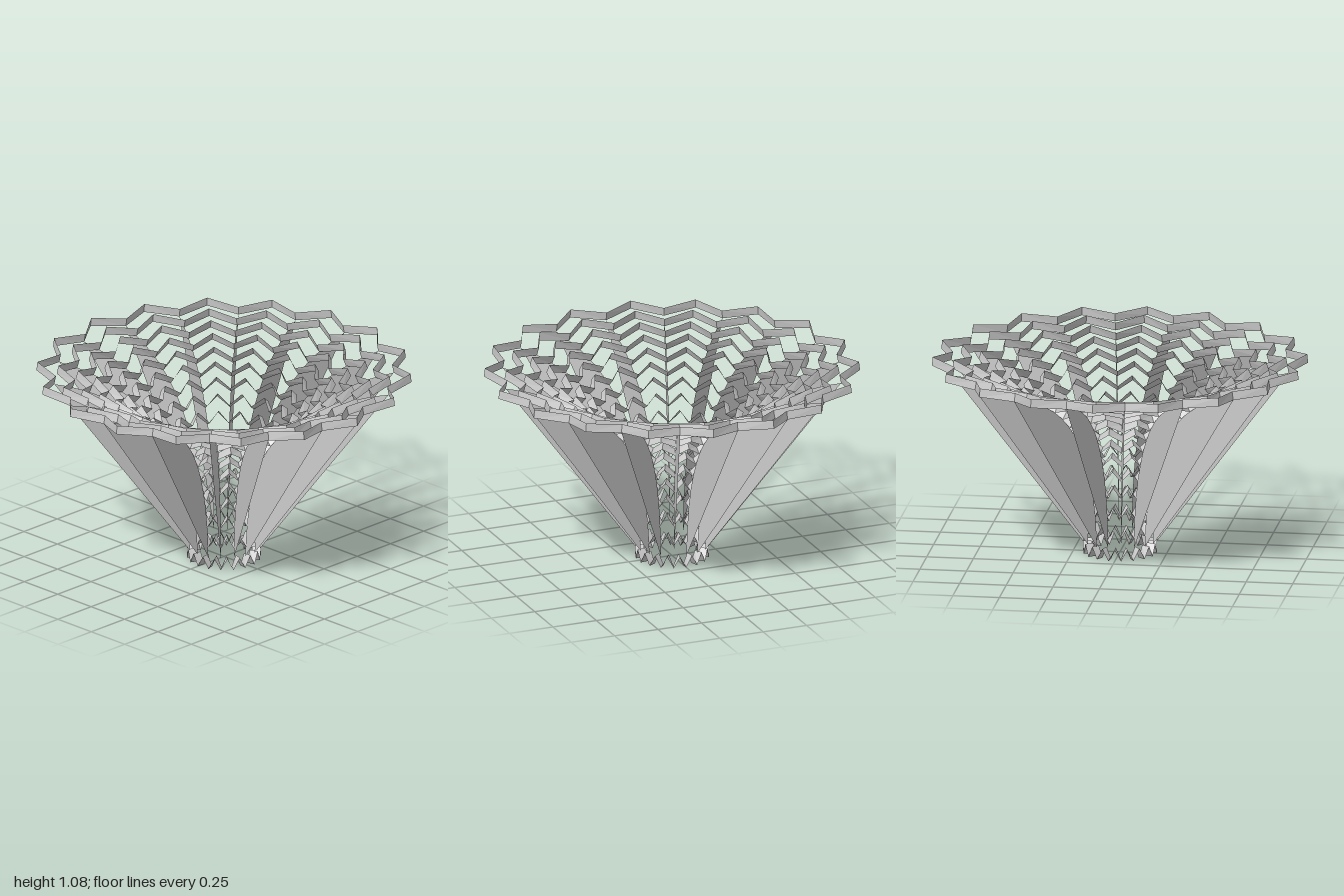
import * as THREE from 'three';

const FOLDS = 18, RINGS = 15, WIDTH = 0.047;
const lerp = THREE.MathUtils.lerp;

// horn profile: x is the distance from the axis, y the height
const horn = new THREE.QuadraticBezierCurve(
  new THREE.Vector2(0.15, 0), new THREE.Vector2(0.15, 0.99), new THREE.Vector2(0.994, 1.08));

// profile point moved square to the horn, towards its outside
function profile(t, offset) {
  const p = horn.getPoint(t), d = horn.getTangent(t);
  return p.add(new THREE.Vector2(d.y, -d.x).multiplyScalar(offset));
}

// pleated band standing square to the horn, valleys at t0, peaks at t1
function pleatedBand(t0, t1) {
  const pos = [], index = [], count = FOLDS * 2;
  for (let i = 0; i <= count; i++) {
    const a = i * Math.PI / FOLDS;
    for (const offset of [WIDTH, 0]) {
      const p = profile(i % 2 ? t0 : t1, offset);
      pos.push(p.x * Math.sin(a), p.y, p.x * Math.cos(a));
    }
    if (i < count) {
      const k = i * 2;
      index.push(k, k + 2, k + 3, k, k + 3, k + 1);
    }
  }
  const g = new THREE.BufferGeometry();
  g.setAttribute('position', new THREE.Float32BufferAttribute(pos, 3));
  g.setIndex(index);
  const flat = g.toNonIndexed();
  flat.computeVertexNormals();
  return flat;
}

export function createModel() {
  const model = new THREE.Group();
  const material = new THREE.MeshStandardMaterial({
    color: 0xcccccc, flatShading: true, side: THREE.DoubleSide });

  // concentric pleated rings climbing the horn
  const rings = new THREE.Group();
  rings.name = 'pleatedRings';
  for (let k = 0; k < RINGS; k++) {
    const f = k / (RINGS - 1);
    const ring = new THREE.Mesh(pleatedBand(lerp(0, 0.94, f), lerp(0.033, 1, f)), material);
    ring.name = 'ring' + (k + 1);
    rings.add(ring);
  }
  model.add(rings);

  // thin radial fins at the valleys, curved inside and straight outside
  const outline = [];
  for (let i = 0; i <= 28; i++) outline.push(profile(lerp(0.035, 0.94, i / 28), WIDTH));
  const finGeometry = new THREE.ShapeGeometry(new THREE.Shape(outline));
  const fins = new THREE.Group();
  fins.name = 'radialFins';
  for (let i = 0; i < FOLDS; i++) {
    const fin = new THREE.Mesh(finGeometry, material);
    fin.name = 'fin' + (i + 1);
    fin.rotation.y = (2 * i + 1) * Math.PI / FOLDS - Math.PI / 2;
    fins.add(fin);
  }
  model.add(fins);
  return model;
}
